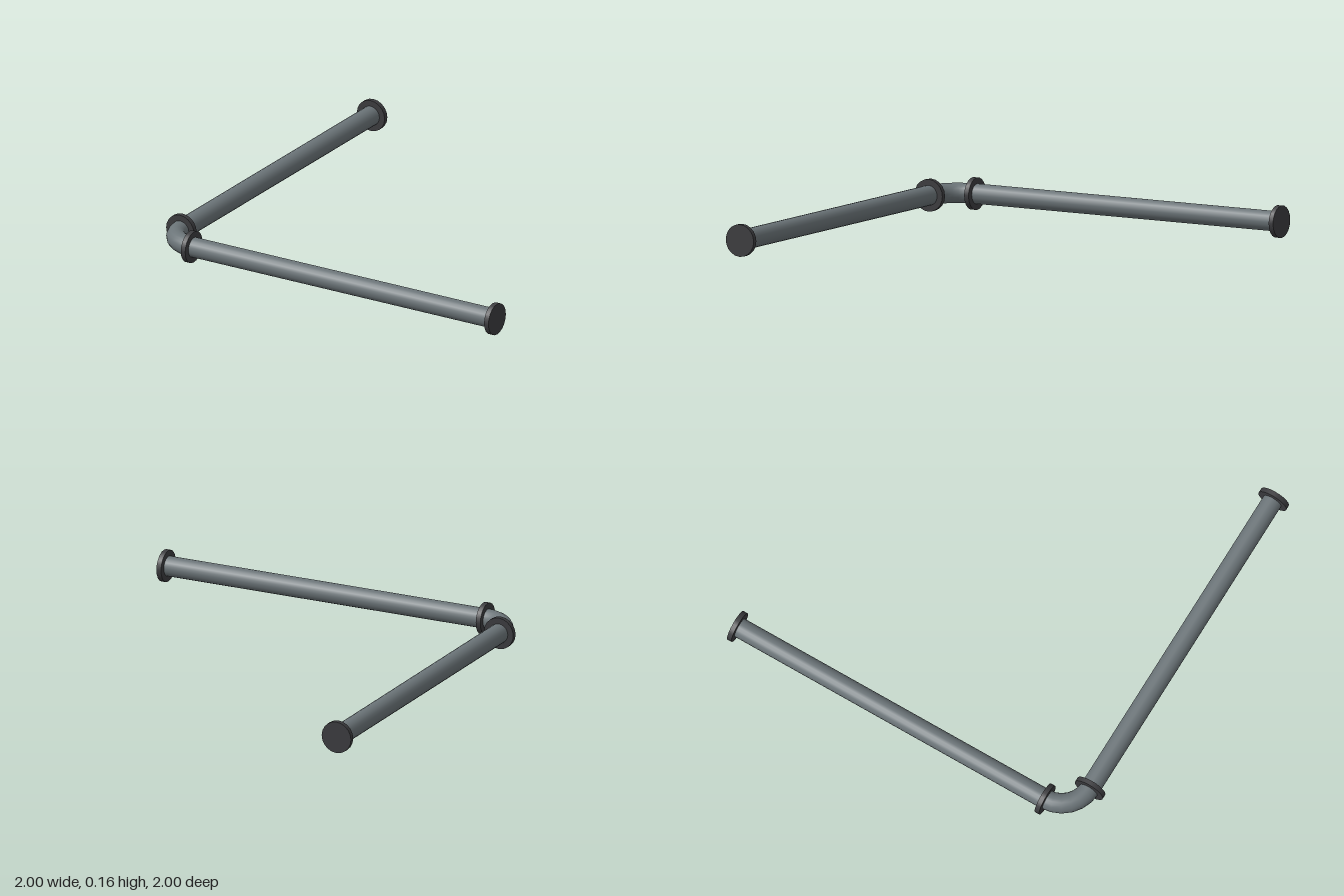
import * as THREE from 'three';

const R = 0.05, FLANGE_R = 0.08, FLANGE_T = 0.025;
const Y = 0.08;        // axis height
const AXIS = 0.92;     // distance of each run's axis from the centre
const JOINT = 0.76;    // where the elbow meets the runs
const END = 1 - FLANGE_T / 2;

export function createModel() {
  const model = new THREE.Group();
  const pipeMat = new THREE.MeshStandardMaterial({ color: 0x6b7478 });
  pipeMat.name = 'pipe steel';
  const flangeMat = new THREE.MeshStandardMaterial({ color: 0x3c3c3f });
  flangeMat.name = 'dark flange';

  const add = (parent, name, geometry, material, x = 0) => {
    const mesh = new THREE.Mesh(geometry, material);
    mesh.name = name;
    mesh.position.x = x;
    parent.add(mesh);
    return mesh;
  };

  // One straight run along x with a flange at each end
  const makeRun = (name) => {
    const run = new THREE.Group();
    run.name = name;
    const pipe = new THREE.CylinderGeometry(R, R, END + JOINT, 20, 1, true).rotateZ(-Math.PI / 2);
    add(run, 'straightPipe', pipe, pipeMat, (END - JOINT) / 2);
    const flange = new THREE.CylinderGeometry(FLANGE_R, FLANGE_R, FLANGE_T, 20).rotateZ(-Math.PI / 2);
    add(run, 'jointFlange', flange, flangeMat, -JOINT);
    add(run, 'endFlange', flange, flangeMat, END);
    model.add(run);
    return run;
  };

  makeRun('frontRun').position.set(0, Y, AXIS);
  const side = makeRun('sideRun');
  side.rotation.y = Math.PI / 2;
  side.position.set(-AXIS, Y, 0);

  // Quarter-turn elbow joining the two runs
  const bend = new THREE.TorusGeometry(AXIS - JOINT, R, 20, 6, Math.PI / 2)
    .rotateZ(Math.PI / 2).rotateX(Math.PI / 2);
  add(model, 'elbow', bend, pipeMat).position.set(-JOINT, Y, JOINT);

  return model;
}
